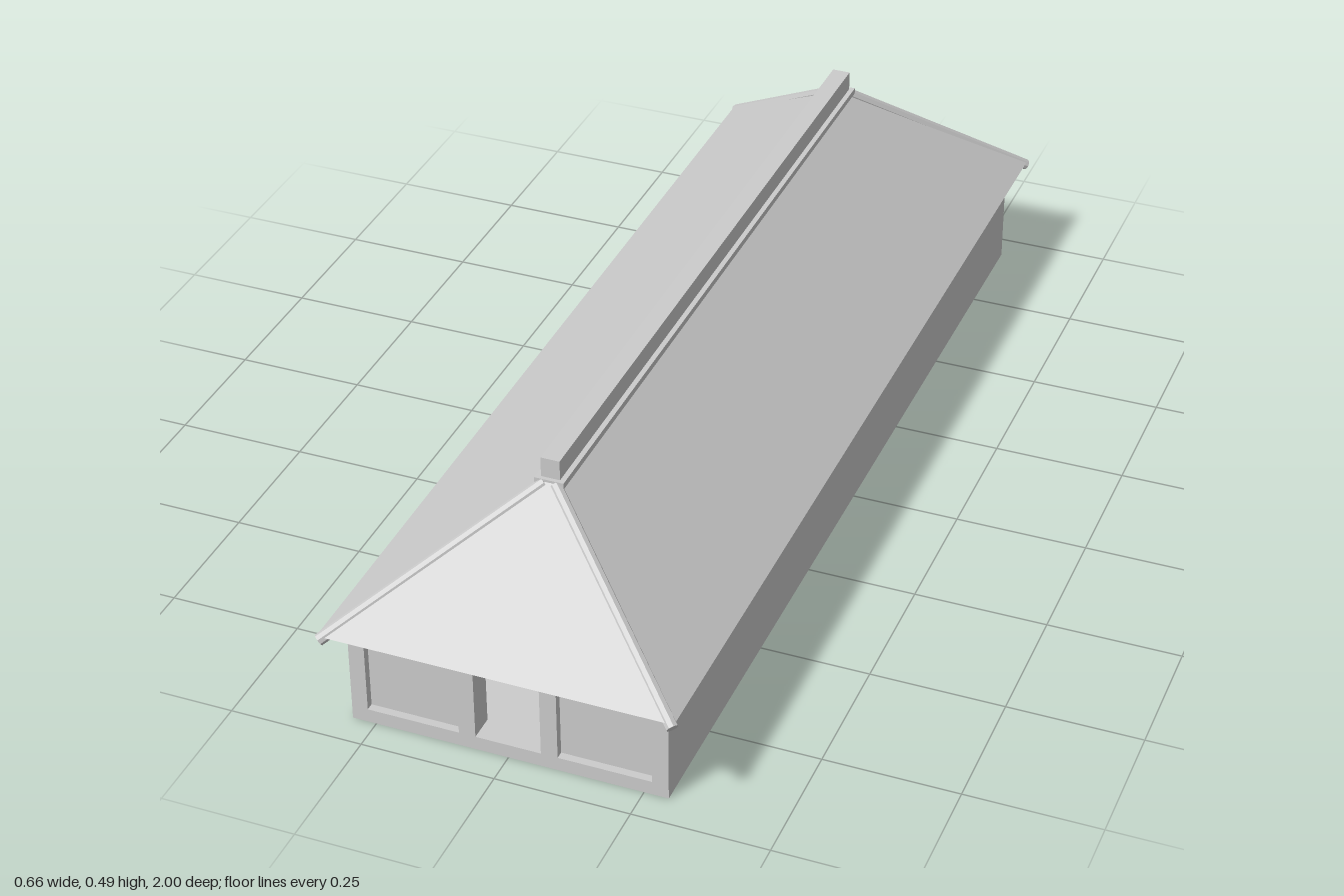
import * as THREE from 'three';

const mat = new THREE.MeshStandardMaterial({ color: 0xcccccc, flatShading: true, side: THREE.DoubleSide });

function add(parent, name, geometry, x = 0, y = 0, z = 0) {
  const mesh = new THREE.Mesh(geometry, mat);
  mesh.name = name;
  mesh.position.set(x, y, z);
  parent.add(mesh);
  return mesh;
}

const box = (w, h, d) => new THREE.BoxGeometry(w, h, d);

// Rectangle outline from two corners
function rect(path, x0, y0, x1, y1) {
  path.moveTo(x0, y0);
  path.lineTo(x1, y0);
  path.lineTo(x1, y1);
  path.lineTo(x0, y1);
  path.closePath();
  return path;
}

// Wall layer with rectangular holes, each given as [x0, x1]
function wallLayer(depth, holes) {
  const shape = rect(new THREE.Shape(), -W, 0, W, H);
  for (const [x0, x1] of holes) shape.holes.push(rect(new THREE.Path(), x0, SILL, x1, HEAD));
  return new THREE.ExtrudeGeometry(shape, { depth, bevelEnabled: false });
}

const W = 0.295, H = 0.207, L = 0.94;        // body half width, height, half length
const SILL = 0.027, HEAD = 0.184;            // bottom and top of openings
const THICK = 0.05, RECESS = 0.015;          // end wall thickness, panel depth
const EX = 0.326, EZ = 0.992;                // eave half width and half length
const RIDGE_Y = 0.447, RIDGE_Z = 0.735;

// Hipped roof with a flat underside
function hipRoof() {
  const p = [
    [-EX, H, EZ], [EX, H, EZ], [EX, H, -EZ], [-EX, H, -EZ],
    [0, RIDGE_Y, RIDGE_Z], [0, RIDGE_Y, -RIDGE_Z],
  ];
  const faces = [0, 1, 4, 1, 2, 5, 1, 5, 4, 2, 3, 5, 3, 0, 4, 3, 4, 5, 0, 3, 2, 0, 2, 1];
  const g = new THREE.BufferGeometry();
  g.setAttribute('position', new THREE.Float32BufferAttribute(faces.flatMap((i) => p[i]), 3));
  g.computeVertexNormals();
  return g;
}

// Round pole between two points
function pole(parent, name, a, b, radius) {
  const dir = b.clone().sub(a);
  const mesh = add(parent, name, new THREE.CylinderGeometry(radius, radius, dir.length(), 8));
  mesh.position.copy(a).add(b).multiplyScalar(0.5);
  mesh.quaternion.setFromUnitVectors(new THREE.Vector3(0, 1, 0), dir.normalize());
}

export function createModel() {
  const model = new THREE.Group();
  model.name = 'longHouse';

  // Hollow body: floor and thin long walls
  const body = new THREE.Group();
  body.name = 'body';
  model.add(body);
  const t = 0.004, inner = 2 * (L - THICK);
  add(body, 'floor', box(2 * W, t, inner), 0, t / 2, 0);
  for (const s of [-1, 1]) add(body, 'longWall', box(t, H, inner), s * (W - t / 2), H / 2, 0);

  // End walls with a central doorway and two recessed panels
  const door = [-0.061, 0.061];
  for (const turn of [0, Math.PI]) {
    const end = new THREE.Group();
    end.name = 'endWall';
    end.rotation.y = turn;
    add(end, 'wallCore', wallLayer(THICK - RECESS, [door]), 0, 0, L - THICK);
    add(end, 'panelFrame', wallLayer(RECESS, [door, [-0.265, -0.092], [0.092, 0.265]]), 0, 0, L - RECESS);
    body.add(end);
  }

  // Roof, ridge cap and ridge beam
  add(model, 'roof', hipRoof());
  add(model, 'ridgeBase', box(0.054, 0.012, 1.48), 0, 0.441, 0);
  add(model, 'ridgeBeam', box(0.035, 0.04, 1.465), 0, 0.465, 0);

  // Poles along the four hips
  for (const sx of [-1, 1]) for (const sz of [-1, 1]) {
    pole(model, 'hipPole',
      new THREE.Vector3(sx * 0.323, 0.198, sz * 0.99),
      new THREE.Vector3(sx * 0.01, 0.437, sz * 0.735), 0.011);
  }
  return model;
}
